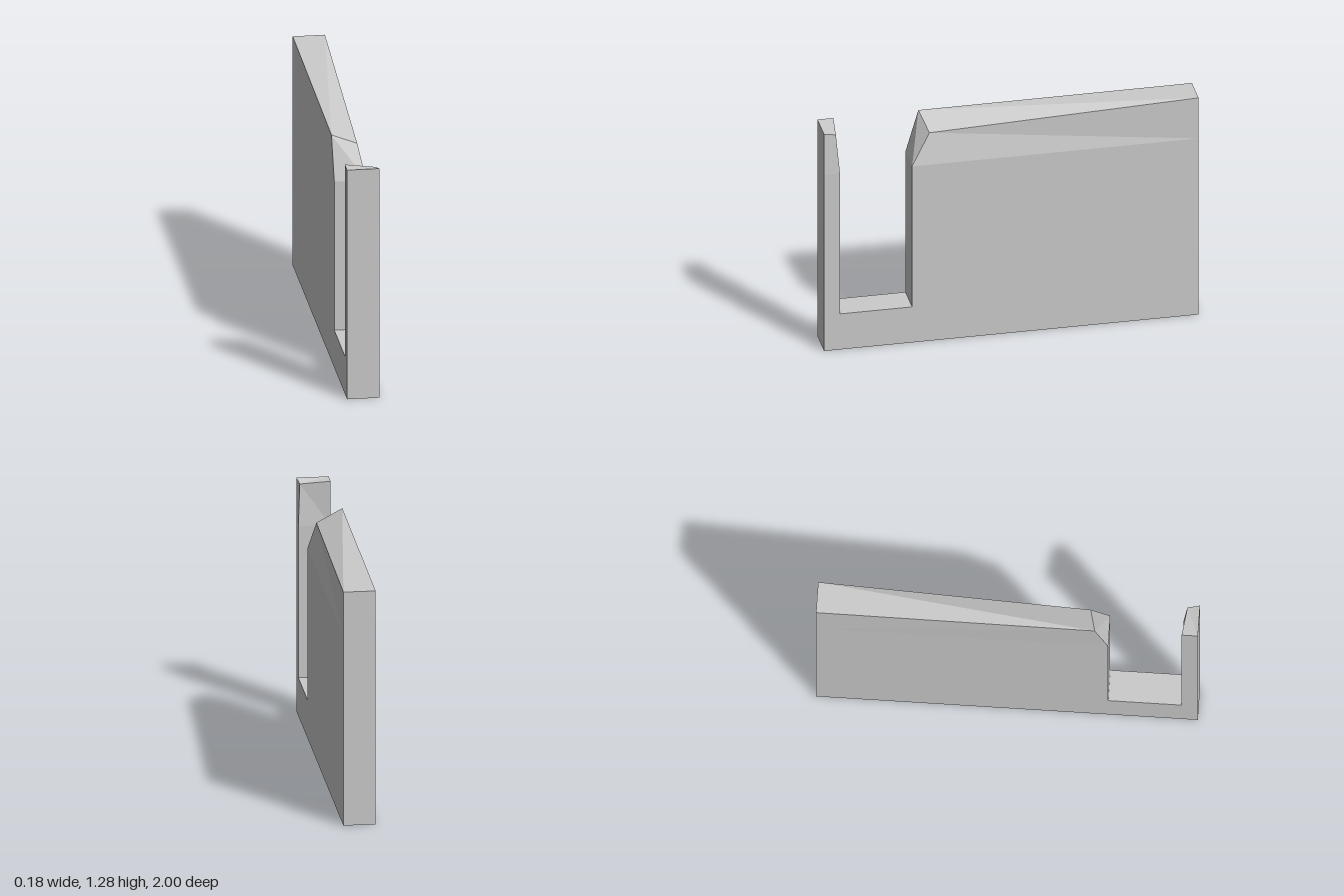
import * as THREE from 'three';

const HALF = 0.085;

// Side outline as [z, y], running counter-clockwise seen from +x
const outline = [
  [1, 0], [-1, 0], [-1, 1.04], [-1, 1.28], [0.45, 1.25], [0.53, 1.04],
  [0.53, 0.21], [0.915, 0.21], [0.915, 1.04], [0.915, 1.28], [1, 1.28], [1, 1.04],
];
// Worn upper corners that differ between the two sides: [x, y, z]
const wornRight = { 4: [0.05, 1.21, 0.43], 9: [0.075, 1.265, 0.935] };
const wornLeft = { 4: [-0.09, 1.275, 0.46], 9: [-0.085, 1.28, 0.915] };

// Triangles of one side face, by outline index
const sideFaces = [
  [0, 1, 6], [0, 6, 7], [1, 2, 5], [1, 5, 6], [2, 3, 4], [2, 4, 5],
  [0, 7, 11], [7, 8, 11], [8, 9, 11], [9, 10, 11],
];
// Rim quads folded along the other diagonal
const flipped = [4, 8];

function createSlab() {
  const right = outline.map(([z, y], i) => wornRight[i] ?? [HALF, y, z]);
  const left = outline.map(([z, y], i) => wornLeft[i] ?? [-HALF, y, z]);
  const positions = [];
  const tri = (...points) => points.forEach((p) => positions.push(...p));

  // Two broad sides
  for (const [a, b, c] of sideFaces) {
    tri(right[a], right[b], right[c]);
    tri(left[a], left[c], left[b]);
  }
  // Rim joining them
  for (let i = 0; i < outline.length; i++) {
    const j = (i + 1) % outline.length;
    if (flipped.includes(i)) {
      tri(right[i], left[i], right[j]);
      tri(left[i], left[j], right[j]);
    } else {
      tri(right[i], left[i], left[j]);
      tri(right[i], left[j], right[j]);
    }
  }
  const geometry = new THREE.BufferGeometry();
  geometry.setAttribute('position', new THREE.Float32BufferAttribute(positions, 3));
  geometry.computeVertexNormals();
  return geometry;
}

export function createModel() {
  const group = new THREE.Group();
  group.name = 'notchedWall';
  const material = new THREE.MeshStandardMaterial({ color: 0xcccccc, flatShading: true });
  const slab = new THREE.Mesh(createSlab(), material);
  slab.name = 'wallSlab';
  group.add(slab);
  return group;
}
